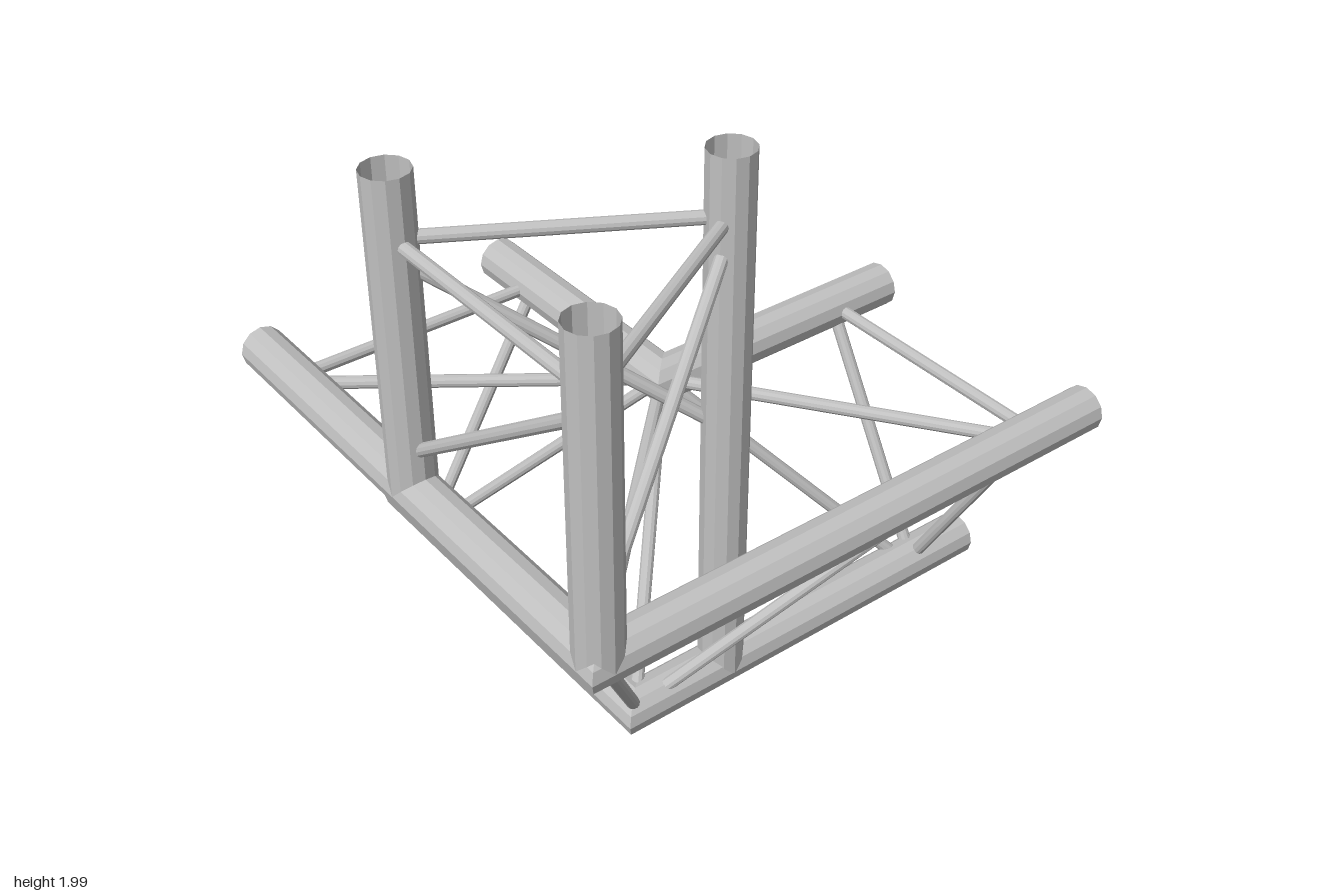
import * as THREE from 'three';

const R = 0.077, BRACE_R = 0.022, SIDES = 12;
const HIGH = 0.907, LOW = 0.084;

export function createModel() {
  const group = new THREE.Group();
  const aluminium = new THREE.MeshStandardMaterial({ color: 0xc0c0c0, side: THREE.DoubleSide, flatShading: true });
  const V = (x, y, z) => new THREE.Vector3(x, y, z);
  const X = V(1, 0, 0), BACK = V(0, 0, -1), UP = V(0, 1, 0);

  // Open tube between two points; a mitre direction cuts the start at 45 degrees
  function tube(name, a, b, radius, mitre) {
    const dir = b.clone().sub(a);
    const length = dir.length();
    dir.normalize();
    const g = new THREE.CylinderGeometry(radius, radius, length, SIDES, 1, true);
    g.translate(0, length / 2, 0);
    g.applyQuaternion(new THREE.Quaternion().setFromUnitVectors(UP, dir));
    if (mitre) {
      const p = g.attributes.position, v = V(0, 0, 0);
      for (let i = 0; i < p.count; i++) {
        v.fromBufferAttribute(p, i);
        if (v.dot(dir) < length / 2) {
          v.addScaledVector(dir, v.dot(mitre));
          p.setXYZ(i, v.x, v.y, v.z);
        }
      }
      g.computeVertexNormals();
    }
    g.translate(a.x, a.y, a.z);
    const mesh = new THREE.Mesh(g, aluminium);
    mesh.name = name;
    group.add(mesh);
  }
  const brace = (name, a, b) => tube(name, a, b, BRACE_R);

  // Corner points of the three chord pairs
  const outer = V(-0.923, HIGH, 0.923);
  const inner = V(0.027, HIGH, -0.032);
  const lower = V(-0.449, LOW, 0.445);
  for (const [name, c] of [['outerChord', outer], ['innerChord', inner], ['lowerChord', lower]]) {
    tube(name + 'Side', c, V(1, c.y, c.z), R, BACK);
    tube(name + 'Back', c, V(c.x, c.y, -1), R, X);
  }

  // Upright chords: positions in plan and foot height
  const posts = [[-0.923, 0.923, HIGH], [-0.098, 0.447, LOW], [-0.923, -0.028, HIGH]];
  for (const [x, z, foot] of posts) tube('uprightChord', V(x, foot, z), V(x, 2, z), R);

  // Upright arm: one ring of struts and one diagonal on each face
  const at = (i, y) => V(posts[i][0], y, posts[i][1]);
  for (let i = 0; i < 3; i++) brace('uprightStrut', at(i, 1.78), at((i + 1) % 3, 1.78));
  for (const [hi, lo] of [[1, 0], [2, 1], [0, 2]]) brace('uprightDiagonal', at(hi, 1.72), at(lo, 1.04));

  // Horizontal arms: slide a corner point along its own chord
  const arms = [
    { name: 'side', on: (c, t) => V(t, c.y, c.z), start: 1 },
    { name: 'back', on: (c, t) => V(c.x, c.y, -t), start: 1 },
  ];
  const ends = { side: [0.72, 0.74, -0.41, 0.6], back: [0.73, 0.74, -0.26, 0.73] };
  for (const { name, on } of arms) {
    const [flat, innerLow, outerLow, outerHigh] = ends[name];
    const ring = [outer, inner, lower].map((c) => on(c, 0.772));
    for (let i = 0; i < 3; i++) brace(name + 'Strut', ring[i], ring[(i + 1) % 3]);
    brace(name + 'TopDiagonal', inner, on(outer, flat));
    brace(name + 'InnerDiagonal', inner, on(lower, innerLow));
    brace(name + 'OuterDiagonal', on(lower, outerLow), on(outer, outerHigh));
  }

  // Braces tying the three corners together
  brace('cornerBrace', outer, inner);
  brace('cornerBrace', outer, lower);
  brace('cornerBrace', inner, lower);

  return group;
}
